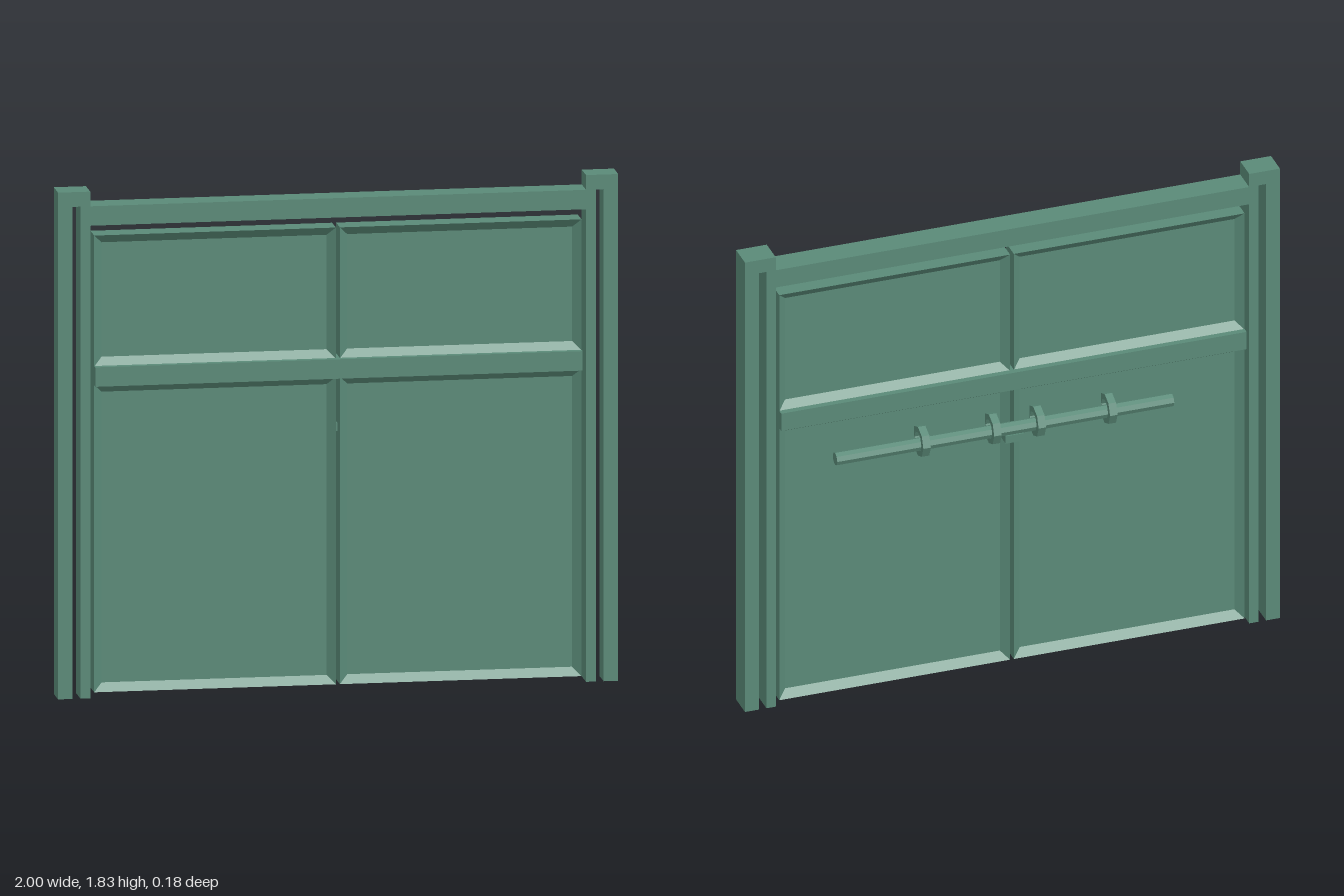
import * as THREE from 'three';

const material = new THREE.MeshStandardMaterial({ color: 0x5a8a78, flatShading: true });
const Z_MID = 0.025;   // middle plane of the gate
const DEPTH = 0.095;   // thickness of posts and rail

function add(parent, name, geometry, x = 0, y = 0, z = 0) {
  const mesh = new THREE.Mesh(geometry, material);
  mesh.name = name;
  mesh.position.set(x, y, z);
  parent.add(mesh);
  return mesh;
}

// Box given by its limits
function addBox(parent, name, x0, x1, y0, y1, z0, z1) {
  return add(parent, name, new THREE.BoxGeometry(x1 - x0, y1 - y0, z1 - z0),
    (x0 + x1) / 2, (y0 + y1) / 2, (z0 + z1) / 2);
}

// Slab whose front and back slope from a raised rim into a sunken field
function trayPanel(x0, x1, y0, y1) {
  const bevel = 0.03, rim = 0.042, field = 0.018;
  const positions = [], index = [];
  const sections = [[bevel, -field], [0, -rim], [0, rim], [bevel, field]];
  for (const [inset, z] of sections) {
    positions.push(
      x0 + inset, y0 + inset, z, x1 - inset, y0 + inset, z,
      x1 - inset, y1 - inset, z, x0 + inset, y1 - inset, z);
  }
  for (let s = 0; s < 3; s++) {
    for (let j = 0; j < 4; j++) {
      const a = s * 4 + j, b = s * 4 + (j + 1) % 4;
      index.push(a, b, b + 4, a, b + 4, a + 4);
    }
  }
  index.push(0, 2, 1, 0, 3, 2, 12, 13, 14, 12, 14, 15);
  const geometry = new THREE.BufferGeometry();
  geometry.setAttribute('position', new THREE.Float32BufferAttribute(positions, 3));
  geometry.setIndex(index);
  const flat = geometry.toNonIndexed();
  flat.computeVertexNormals();
  return flat;
}

// Eight-sided ring, its hole running along x
function ringGeometry(outer, inner, width) {
  const outline = (r) => Array.from({ length: 8 }, (_, i) =>
    new THREE.Vector2(r * Math.cos(i * Math.PI / 4), r * Math.sin(i * Math.PI / 4)));
  const shape = new THREE.Shape(outline(outer));
  shape.holes.push(new THREE.Path(outline(inner)));
  return new THREE.ExtrudeGeometry(shape, { depth: width, bevelEnabled: false })
    .translate(0, 0, -width / 2)
    .rotateY(Math.PI / 2);
}

export function createModel() {
  const gate = new THREE.Group();
  gate.name = 'gate';
  const zBack = Z_MID - DEPTH / 2, zFront = Z_MID + DEPTH / 2;

  // Slotted posts: two uprights joined by a cap
  const postShape = new THREE.Shape([
    [0.885, 0], [0.92, 0], [0.92, 1.772], [0.948, 1.772],
    [0.948, 0], [1, 0], [1, 1.825], [0.885, 1.825],
  ].map(([x, y]) => new THREE.Vector2(x, y)));
  const postGeometry = new THREE.ExtrudeGeometry(postShape, { depth: DEPTH, bevelEnabled: false });
  add(gate, 'leftPost', postGeometry, 0, 0, zBack);
  add(gate, 'rightPost', postGeometry, 0, 0, zFront).rotation.y = Math.PI;

  // Top rail between the posts
  addBox(gate, 'topRail', -0.885, 0.885, 1.702, 1.772, zBack, zFront);

  // Two leaves, each with a lower and an upper panel
  for (const [side, x0, x1] of [['left', 0.007, 0.87], ['right', -0.87, -0.007]]) {
    const leaf = new THREE.Group();
    leaf.name = side + 'Leaf';
    add(leaf, 'lowerPanel', trayPanel(x0, x1, 0.02, 1.127), 0, 0, Z_MID);
    add(leaf, 'upperPanel', trayPanel(x0, x1, 1.193, 1.665), 0, 0, Z_MID);
    gate.add(leaf);
  }

  // Cross beam over both leaves
  addBox(gate, 'crossBeam', -0.87, 0.87, 1.125, 1.195, -0.038, 0.09);

  // Locking bar held by rings on the back
  const bolt = new THREE.Group();
  bolt.name = 'bolt';
  gate.add(bolt);
  const bar = new THREE.CylinderGeometry(0.024, 0.024, 1.26, 8).rotateZ(Math.PI / 2);
  add(bolt, 'lockingBar', bar, 0.04, 0.975, -0.041);
  const ring = ringGeometry(0.058, 0.036, 0.028);
  for (const x of [-0.355, -0.088, 0.078, 0.343]) {
    add(bolt, 'barRing', ring, x, 0.982, -0.032);
  }
  addBox(bolt, 'barRest', -0.035, 0.035, 0.92, 0.95, -0.05, 0.01);

  return gate;
}
